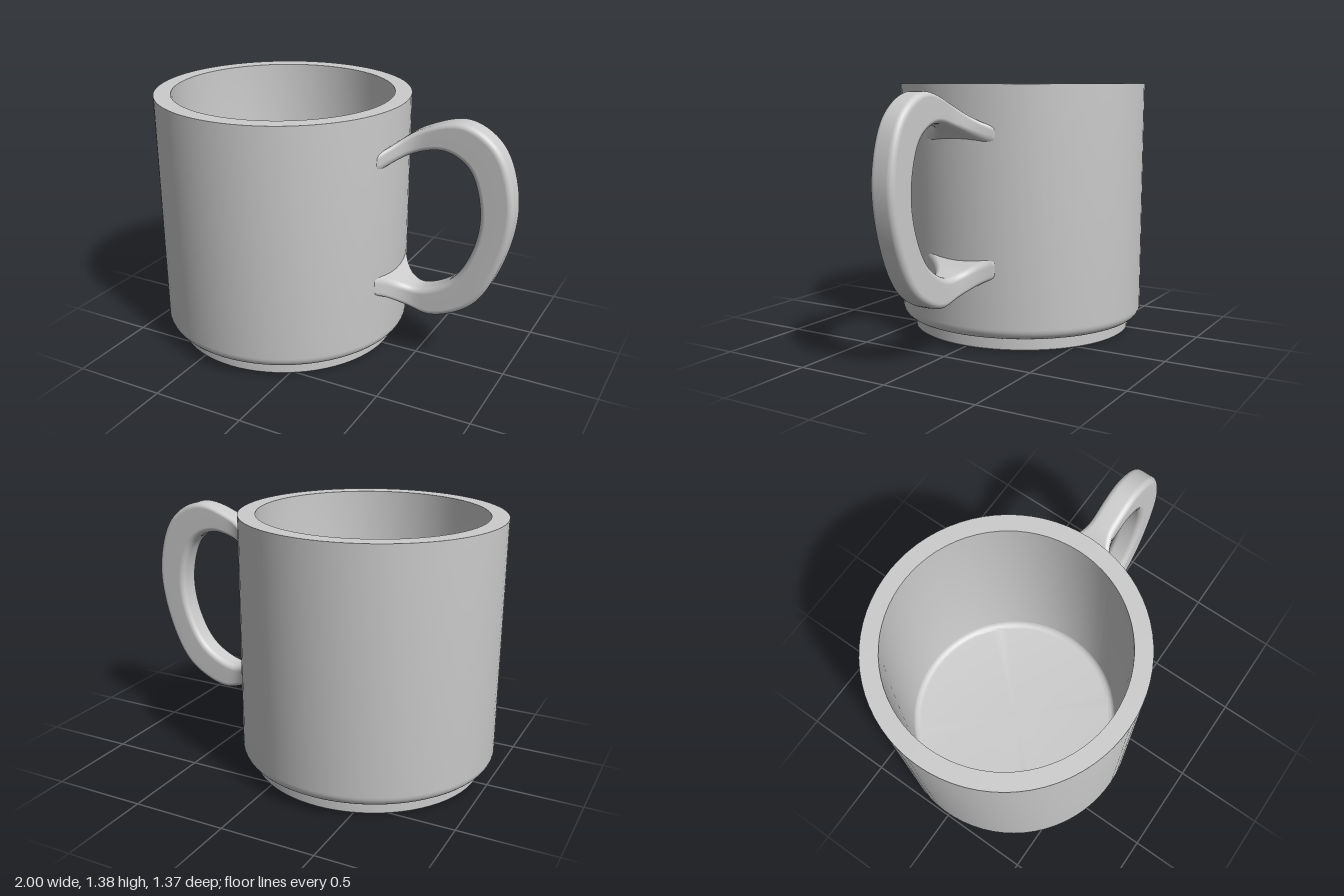
import * as THREE from 'three';
import { toCreasedNormals } from 'three/addons/utils/BufferGeometryUtils.js';

const material = new THREE.MeshStandardMaterial({ color: 0xcccccc });
const CENTRE_X = -0.315;

// Quarter-circle fillet points for a lathe profile
function fillet(cx, cy, rx, ry, from, to, steps = 7) {
  return Array.from({ length: steps + 1 }, (_, i) => {
    const a = from + (to - from) * i / steps;
    return [cx + rx * Math.cos(a), cy + ry * Math.sin(a)];
  });
}

// Cup: foot, rounded shoulder, straight wall, flat rim and hollow inside
function createCup() {
  const H = Math.PI / 2;
  const profile = [
    [0, 0], [0.607, 0], [0.615, 0.008], [0.615, 0.072],
    ...fillet(0.63, 0.13, 0.055, 0.058, -H, 0),
    [0.685, 1.38], [0.595, 1.38],
    ...fillet(0.555, 0.19, 0.04, 0.04, 0, -H),
    [0, 0.15],
  ].map(([x, y]) => new THREE.Vector2(x, y));
  const mesh = new THREE.Mesh(toCreasedNormals(new THREE.LatheGeometry(profile, 72), 0.6), material);
  mesh.name = 'cup';
  mesh.position.x = CENTRE_X;
  return mesh;
}

// Handle: rounded-rectangle sections swept between an outer and an inner curve
function createHandle() {
  const curve = (pts) => new THREE.CatmullRomCurve3(pts.map(([x, y]) => new THREE.Vector3(x, y, 0)));
  const outer = curve([[0.3, 1.15], [0.345, 1.18], [0.5, 1.285], [0.73, 1.345], [0.91, 1.235], [1, 0.95],
    [0.945, 0.62], [0.81, 0.38], [0.59, 0.275], [0.45, 0.31], [0.345, 0.385], [0.3, 0.42]]);
  const inner = curve([[0.3, 1.06], [0.345, 1.09], [0.46, 1.155], [0.63, 1.19], [0.76, 1.12], [0.83, 0.91],
    [0.805, 0.7], [0.7, 0.51], [0.53, 0.42], [0.44, 0.435], [0.345, 0.495], [0.3, 0.52]]);

  // Half-width flares out where the handle meets the wall
  const halfWidth = (x) =>
    0.066 + 0.139 * Math.pow(THREE.MathUtils.clamp((0.54 - x) / 0.2, 0, 1), 2.6);

  const rows = 110, arc = 6, ring = 4 * (arc + 1), r = 0.032;
  const positions = [], index = [];
  for (let i = 0; i <= rows; i++) {
    const o = outer.getPoint(i / rows), n = inner.getPoint(i / rows);
    const mid = o.clone().add(n).multiplyScalar(0.5);
    const half = o.distanceTo(n) / 2;
    const dir = o.clone().sub(n).normalize();
    for (let q = 0; q < 4; q++) {
      const sd = q === 0 || q === 3 ? 1 : -1, sz = q < 2 ? 1 : -1;
      for (let k = 0; k <= arc; k++) {
        const a = (q + k / arc) * Math.PI / 2;
        const p = mid.clone().addScaledVector(dir, sd * (half - r) + r * Math.cos(a));
        positions.push(p.x, p.y, sz * (halfWidth(p.x) - r) + r * Math.sin(a));
      }
    }
  }
  for (let i = 0; i < rows; i++) {
    for (let j = 0; j < ring; j++) {
      const a = i * ring + j, b = i * ring + (j + 1) % ring;
      index.push(a, b, a + ring, b, b + ring, a + ring);
    }
  }
  const geometry = new THREE.BufferGeometry();
  geometry.setAttribute('position', new THREE.Float32BufferAttribute(positions, 3));
  geometry.setIndex(index);
  geometry.computeVertexNormals();
  const mesh = new THREE.Mesh(geometry, material);
  mesh.name = 'handle';
  return mesh;
}

export function createModel() {
  const mug = new THREE.Group();
  mug.name = 'mug';
  mug.add(createCup(), createHandle());
  return mug;
}
